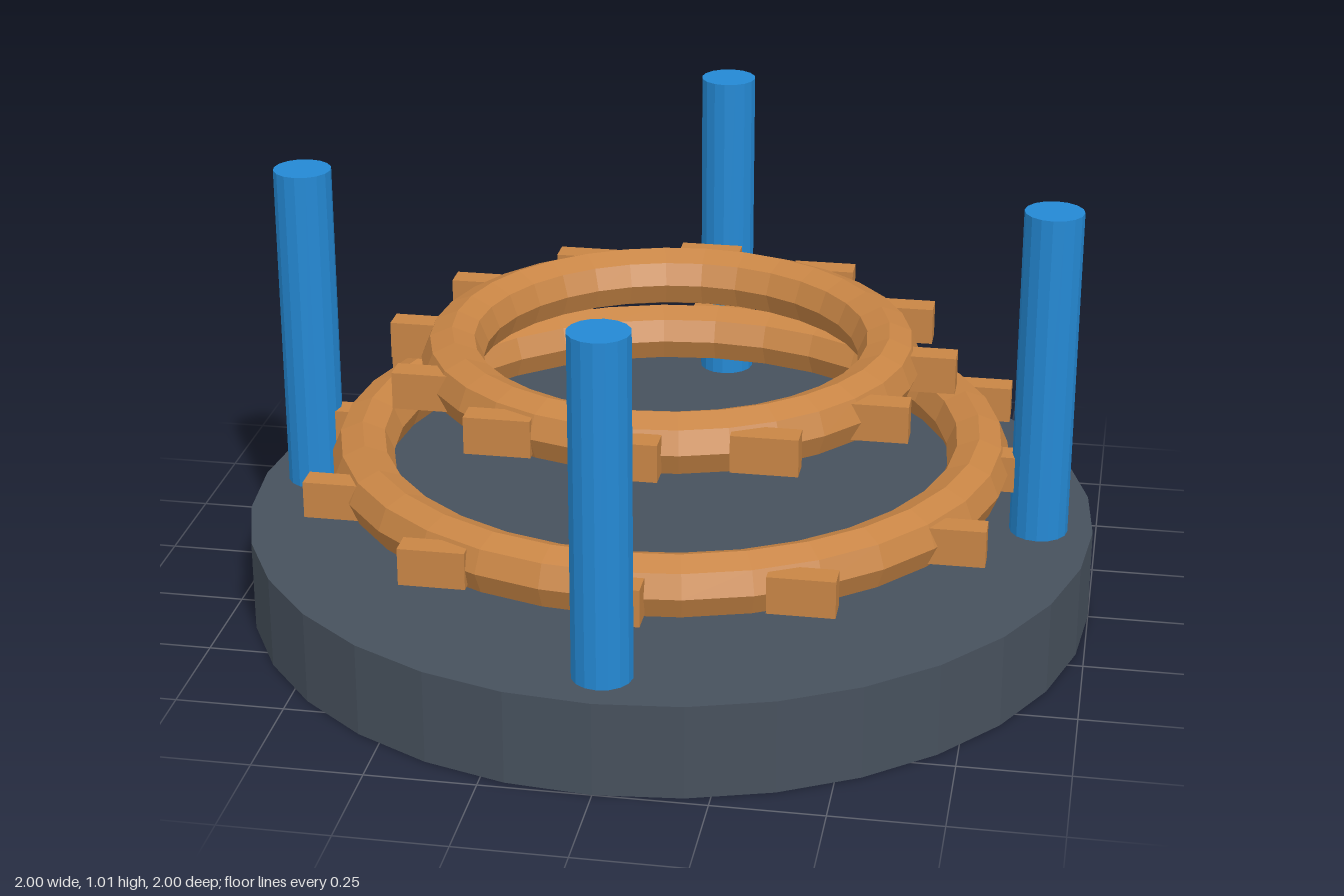
import * as THREE from 'three';

export function createModel() {
  const model = new THREE.Group();
  model.name = 'ringStand';

  const material = (name, color) => {
    const m = new THREE.MeshStandardMaterial({ color, flatShading: true });
    m.name = name;
    return m;
  };
  const slate = material('slate', 0x47515d);
  const blue = material('blue', 0x2489d4);
  const copper = material('copper', 0xc88545);

  const add = (parent, name, geometry, mat, x, y, z) => {
    const mesh = new THREE.Mesh(geometry, mat);
    mesh.name = name;
    mesh.position.set(x, y, z);
    parent.add(mesh);
    return mesh;
  };

  // Round base
  add(model, 'base', new THREE.CylinderGeometry(1, 1, 0.22, 32), slate, 0, 0.11, 0);

  // Four upright posts
  const postGeometry = new THREE.CylinderGeometry(0.068, 0.068, 0.79, 16);
  for (let i = 0; i < 4; i++) {
    const a = (i * Math.PI) / 2;
    add(model, 'post', postGeometry, blue, 0.873 * Math.cos(a), 0.615, 0.873 * Math.sin(a));
  }

  // Octagonal-section rings, each with twelve blocks that all face the same way
  const blockGeometry = new THREE.BoxGeometry(0.15, 0.087, 0.06);
  const addRing = (name, radius, blockRadius, y) => {
    const group = new THREE.Group();
    group.name = name;
    group.position.y = y;
    const torus = new THREE.TorusGeometry(radius, 0.073, 8, 32).rotateX(Math.PI / 2);
    add(group, 'ring', torus, copper, 0, 0, 0);
    for (let i = 0; i < 12; i++) {
      const a = (i * Math.PI) / 6;
      add(group, 'block', blockGeometry, copper, blockRadius * Math.cos(a), 0, blockRadius * Math.sin(a));
    }
    model.add(group);
  };
  addRing('lowerRing', 0.727, 0.81, 0.367);
  addRing('upperRing', 0.51, 0.592, 0.605);

  return model;
}
